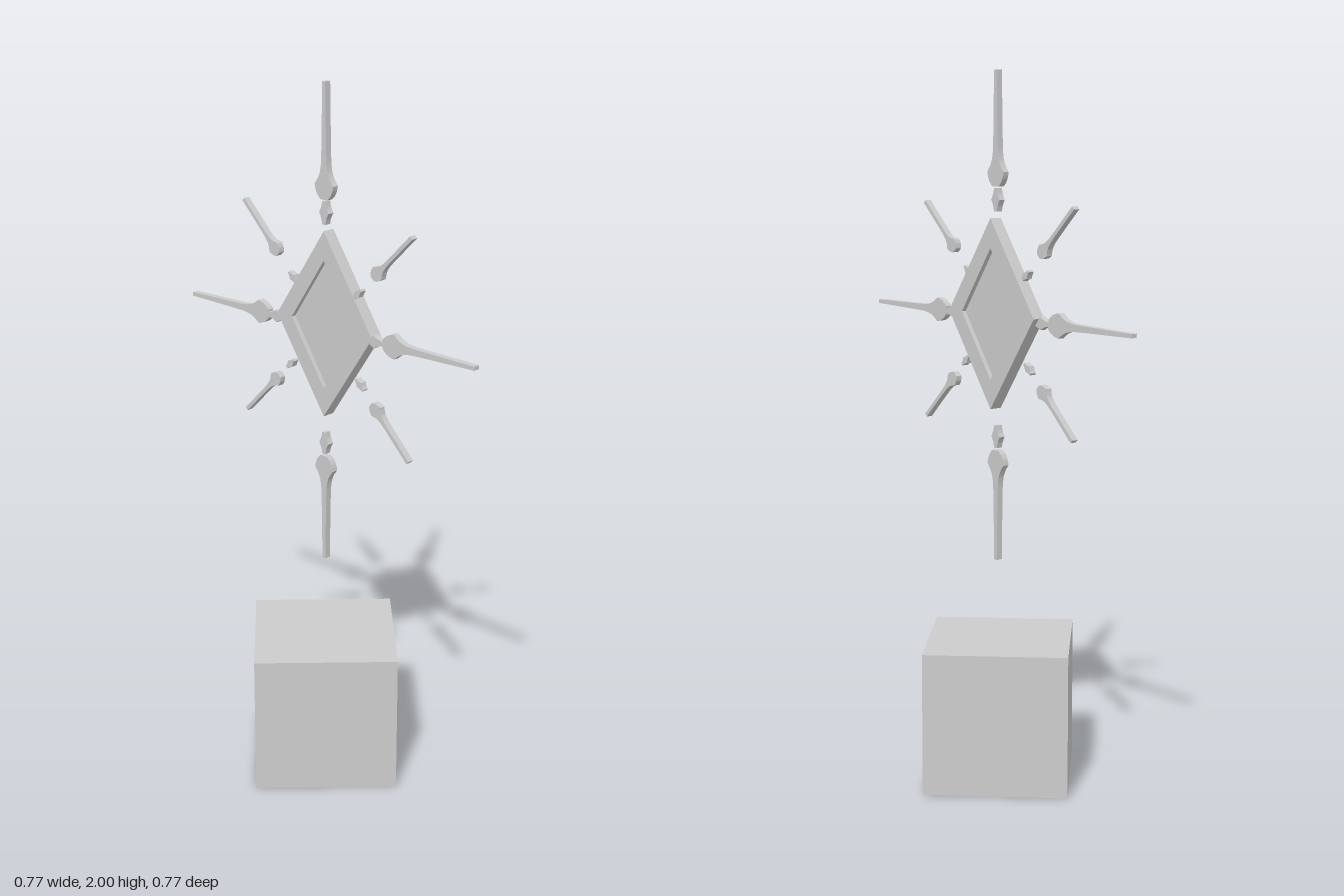
import * as THREE from 'three';
import { toCreasedNormals } from 'three/addons/utils/BufferGeometryUtils.js';

const grey = new THREE.MeshStandardMaterial({ color: 0xcccccc });
const THICK = 0.019;

function mesh(name, geometry) {
  const m = new THREE.Mesh(geometry, grey);
  m.name = name;
  return m;
}

function extrude(shape, z, depth) {
  const g = new THREE.ExtrudeGeometry(shape, { depth, bevelEnabled: false, curveSegments: 16 });
  return g.translate(0, 0, z);
}

function rhombus(w, h) {
  return [[w, 0], [0, h], [-w, 0], [0, -h]].map(([x, y]) => new THREE.Vector2(x, y));
}

// Flat tapering blade along +x, swelling near its base
function spikeGeometry(k, length) {
  const s = new THREE.Shape();
  const p = [[0.04, 0.034], [0.06, 0.02], [0.085, 0.012], [0.13, 0.009]].map(([x, y]) => [x * k, y * k]);
  const tip = 0.0055;
  const curve = (sign, pts) => s.splineThru(pts.map(([x, y]) => new THREE.Vector2(x, sign * y)));
  s.moveTo(0, -0.012 * k);
  s.quadraticCurveTo(0.012 * k, -0.03 * k, ...[p[0][0], -p[0][1]]);
  curve(-1, [...p.slice(1), [length, tip]]);
  s.lineTo(length, tip);
  curve(1, [...p.slice().reverse()]);
  s.quadraticCurveTo(0.012 * k, 0.03 * k, 0, 0.012 * k);
  s.closePath();
  return toCreasedNormals(extrude(s, -THICK / 2, THICK), 0.6);
}

// Small flat bead with concave sides, centred on the origin
function beadGeometry(k) {
  const a = 0.032 * k, b = 0.018 * k, e = 0.006 * k;
  const s = new THREE.Shape();
  s.moveTo(-a, -e);
  s.quadraticCurveTo(-a * 0.4, -e * 1.4, 0, -b);
  s.quadraticCurveTo(a * 0.4, -e * 1.4, a, -e);
  s.lineTo(a, e);
  s.quadraticCurveTo(a * 0.4, e * 1.4, 0, b);
  s.quadraticCurveTo(-a * 0.4, e * 1.4, -a, e);
  s.closePath();
  return toCreasedNormals(extrude(s, -THICK / 2, THICK), 0.6);
}

export function createModel() {
  const model = new THREE.Group();
  model.name = 'floatingEmblemOverCube';

  // Base cube
  const cube = mesh('baseCube', new THREE.BoxGeometry(0.405, 0.405, 0.405));
  cube.position.set(-0.005, 0.2025, 0.01);
  model.add(cube);

  // Emblem, turned to lie along the floor diagonal
  const emblem = new THREE.Group();
  emblem.name = 'emblem';
  emblem.position.y = 1.325;
  emblem.rotation.y = -Math.PI / 4;
  model.add(emblem);

  // Rhombus frame with a recessed panel visible on both faces
  const outline = new THREE.Shape(rhombus(0.179, 0.265));
  outline.holes.push(new THREE.Path(rhombus(0.123, 0.183).reverse()));
  const frame = mesh('rhombusFrame', extrude(outline, -0.028, 0.038));
  const panel = mesh('recessedPanel', extrude(new THREE.Shape(rhombus(0.125, 0.186)), -0.014, 0.01));
  frame.position.y = panel.position.y = 0.009;
  emblem.add(frame, panel);

  // Rays: angle, inner end of the spike, bead centre
  const longSpike = spikeGeometry(1, 0.315), longBead = beadGeometry(1);
  const shortSpike = spikeGeometry(0.62, 0.19), shortBead = beadGeometry(0.6);
  const q = Math.PI / 4;
  const rays = [
    { name: 'leftRay', angle: 0.016, start: 0.217, bead: 0.185, long: true },
    { name: 'topRay', angle: 2 * q, start: 0.36, bead: 0.324, long: true },
    { name: 'rightRay', angle: 4 * q + 0.016, start: 0.217, bead: 0.185, long: true },
    { name: 'bottomRay', angle: 6 * q, start: 0.375, bead: 0.336, long: true },
  ];
  ['upperLeftRay', 'upperRightRay', 'lowerRightRay', 'lowerLeftRay'].forEach((name, i) =>
    rays.push({ name, angle: (2 * i + 1) * q, start: 0.25, bead: i < 2 ? 0.172 : 0.187 }));

  for (const r of rays) {
    const ray = new THREE.Group();
    ray.name = r.name;
    ray.rotation.z = r.angle;
    const spike = mesh('spike', r.long ? longSpike : shortSpike);
    const bead = mesh('bead', r.long ? longBead : shortBead);
    spike.position.x = r.start;
    bead.position.x = r.bead;
    ray.add(spike, bead);
    emblem.add(ray);
  }
  return model;
}
